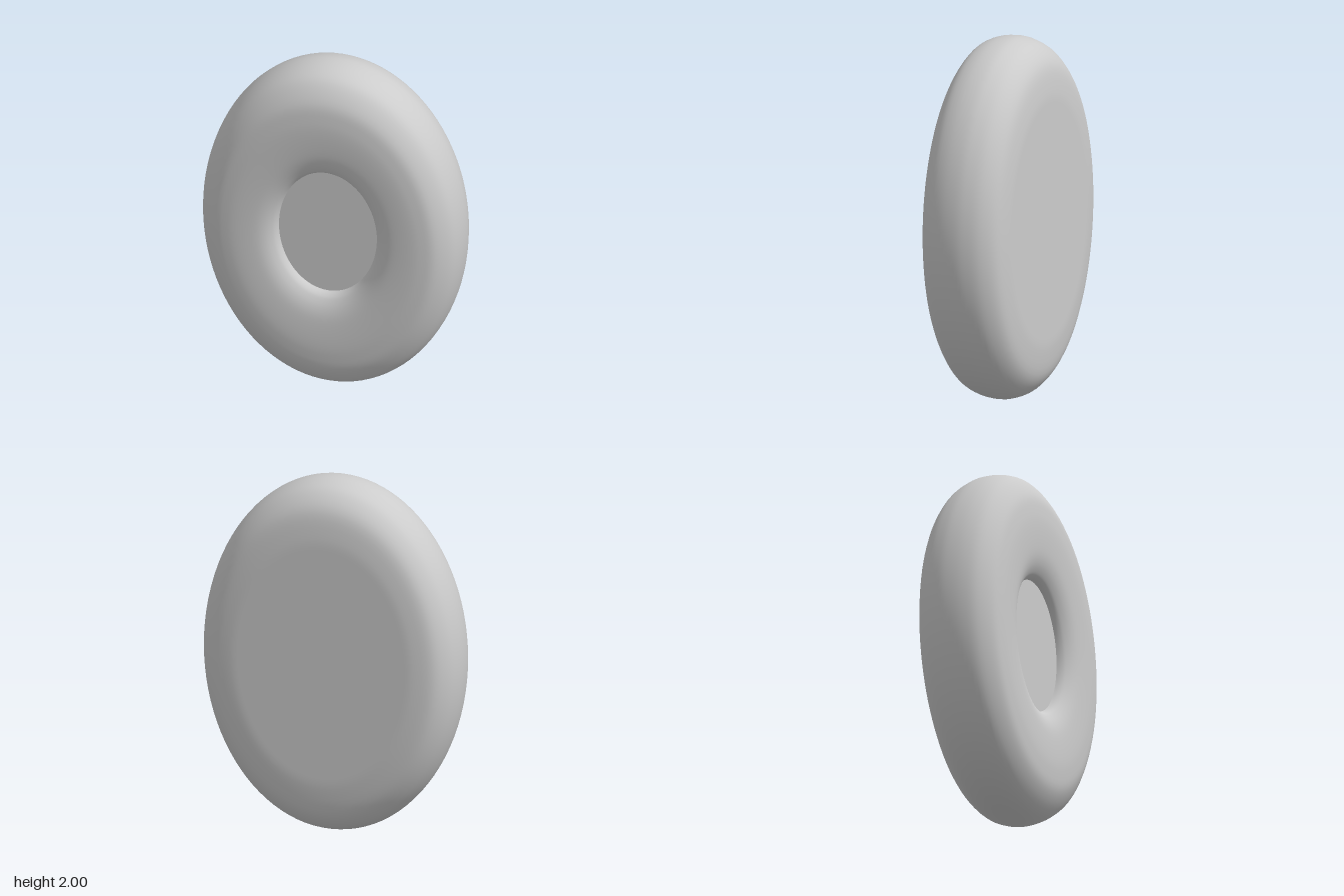
import * as THREE from 'three';

const WIDTH = 0.735;                         // oval width relative to its height
const TURN = THREE.MathUtils.degToRad(-20.6); // the whole disc is turned about y

export function createModel() {
  const group = new THREE.Group();
  const material = new THREE.MeshStandardMaterial({ color: 0xcccccc });

  const add = (name, geometry) => {
    geometry.scale(WIDTH, 1, 1);
    const mesh = new THREE.Mesh(geometry, material);
    mesh.name = name;
    mesh.position.y = 1;
    mesh.rotation.y = TURN;
    group.add(mesh);
  };

  // Rounded rim: flat back edge, round outside, raised front ring, steep dip to the floor
  const rim = new THREE.SplineCurve([
    [0.62, -0.245], [0.72, -0.242], [0.86, -0.217], [0.95, -0.15], [0.99, -0.07],
    [1, 0], [0.987, 0.085], [0.945, 0.16], [0.85, 0.222], [0.75, 0.241], [0.65, 0.245],
    [0.53, 0.238], [0.46, 0.223], [0.41, 0.199], [0.388, 0.178], [0.376, 0.155],
  ].map(([r, n]) => new THREE.Vector2(r, n)));
  add('roundedRim', new THREE.LatheGeometry(rim.getPoints(64), 96).rotateX(Math.PI / 2));

  // Flat oval floor of the front hollow
  add('hollowFloor', new THREE.CircleGeometry(0.376, 96).translate(0, 0, 0.155));

  // Flat oval back
  add('flatBack', new THREE.CircleGeometry(0.62, 96).rotateY(Math.PI).translate(0, 0, -0.245));

  return group;
}
